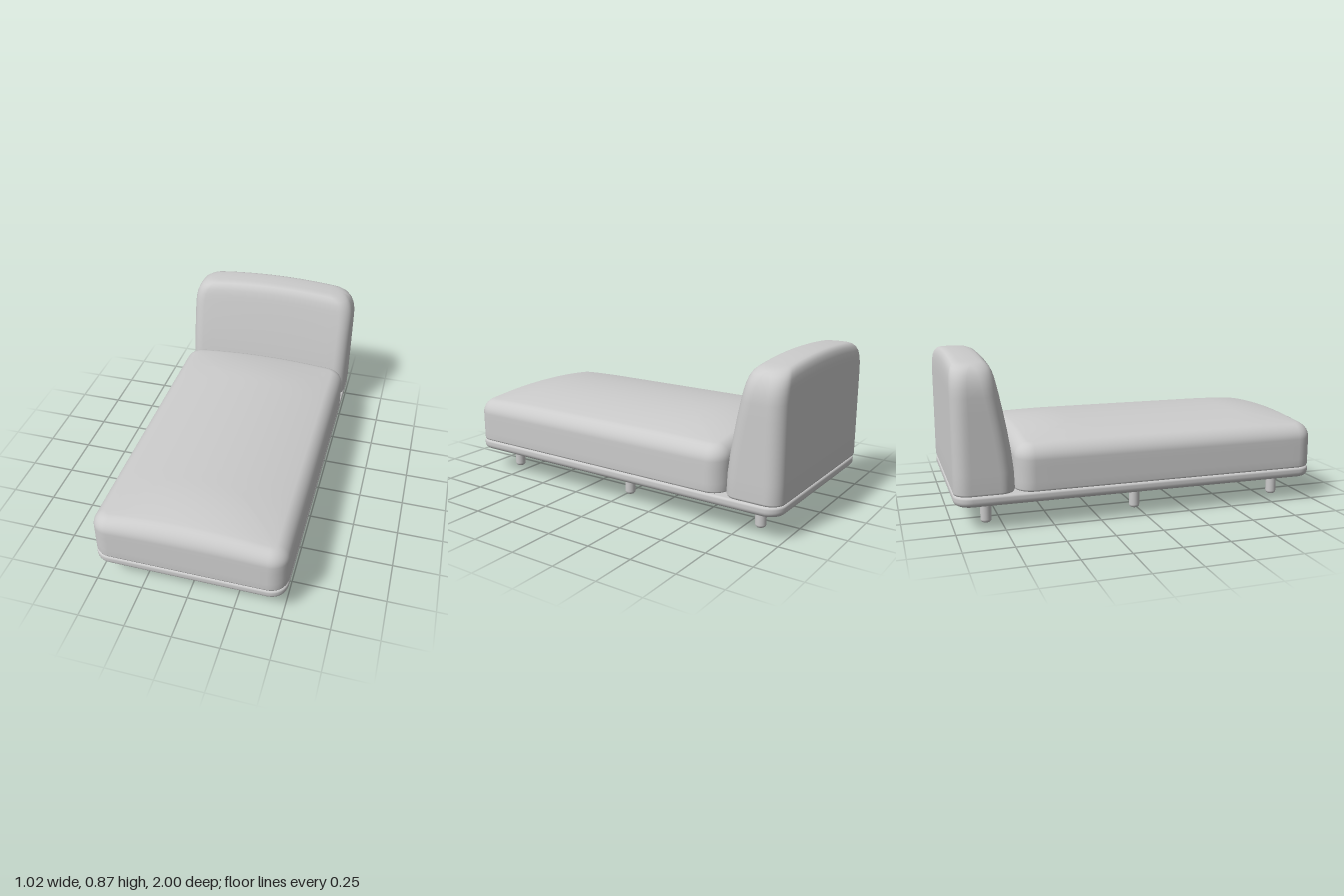
import * as THREE from 'three';
import { mergeVertices } from 'three/addons/utils/BufferGeometryUtils.js';

const HALF_W = 0.512;
const material = new THREE.MeshStandardMaterial({ color: 0xcccccc });

// Rounded rectangle in plan, same point count for every size
function roundedRing({ hx, z0, z1, r }) {
  const hz = (z1 - z0) / 2, cz = (z0 + z1) / 2;
  const rad = Math.max(0, Math.min(r, hx, hz));
  const corners = [[1, 1], [-1, 1], [-1, -1], [1, -1]];
  const arcs = corners.map(([sx, sz], k) => {
    const pts = [];
    for (let i = 0; i <= 8; i++) {
      const a = (k + i / 8) * Math.PI / 2;
      pts.push([sx * (hx - rad) + rad * Math.cos(a), cz + sz * (hz - rad) + rad * Math.sin(a)]);
    }
    return pts;
  });
  const out = [];
  arcs.forEach((arc, k) => {
    out.push(...arc);
    const a = arc[8], b = arcs[(k + 1) % 4][0];
    for (let i = 1; i < 16; i++) {
      const t = i / 16;
      out.push([a[0] + (b[0] - a[0]) * t, a[1] + (b[1] - a[1]) * t]);
    }
  });
  return out;
}

const inset = (s, d, y = s.y) => ({ ...s, y, hx: s.hx - d, z0: s.z0 + d, z1: s.z1 - d, r: Math.max(s.r - d, 0.02) });

// Skin a stack of rings; puff(x, z) lifts each ring by its share "lift"
function loft(name, sections, puff = () => 0) {
  const close = s => inset(s, Math.min(s.hx, (s.z1 - s.z0) / 2));
  const all = [close(sections[0]), ...sections, close(sections[sections.length - 1])];
  const pos = [], idx = [];
  let n = 0;
  all.forEach(s => {
    const ring = roundedRing(s);
    n = ring.length;
    ring.forEach(([x, z]) => pos.push(x, s.y + (s.lift || 0) * puff(x, z), z));
  });
  for (let j = 0; j < all.length - 1; j++) {
    for (let i = 0; i < n; i++) {
      const a = j * n + i, b = j * n + (i + 1) % n;
      idx.push(a, a + n, b, b, a + n, b + n);
    }
  }
  let geo = new THREE.BufferGeometry();
  geo.setAttribute('position', new THREE.Float32BufferAttribute(pos, 3));
  geo.setIndex(idx);
  geo = mergeVertices(geo, 1e-5);
  geo.computeVertexNormals();
  const mesh = new THREE.Mesh(geo, material);
  mesh.name = name;
  return mesh;
}

// Thin platform with a soft lower edge
function makeBase() {
  const full = { hx: HALF_W, z0: -1, z1: 1, r: 0.09, y: 0 };
  const rings = [inset(full, 0.045, 0.13)];
  for (let i = 0; i <= 6; i++) {
    const a = i / 6 * Math.PI / 2;
    rings.push(inset(full, 0.03 * (1 - Math.sin(a)), 0.16 - 0.03 * Math.cos(a)));
  }
  for (let i = 0; i <= 4; i++) {
    const a = i / 4 * Math.PI / 2;
    rings.push(inset(full, 0.012 * (1 - Math.cos(a)), 0.173 + 0.012 * Math.sin(a)));
  }
  rings.push(inset(full, 0.02, 0.185));
  return loft('base', rings);
}

// Long crowned seat cushion
function makeSeat() {
  const full = { hx: HALF_W, z0: -0.688, z1: 1, r: 0.095, y: 0, lift: 0 };
  const rings = [inset(full, 0.025, 0.186), inset(full, 0.012, 0.186), inset(full, 0.003, 0.19)];
  for (let i = 0; i <= 4; i++) rings.push({ ...full, y: 0.198 + i * 0.038, lift: i / 4 * 0.6 });
  for (let i = 1; i <= 8; i++) {
    const a = i / 8 * Math.PI / 2;
    rings.push({ ...inset(full, 0.07 * (1 - Math.cos(a)), 0.35 + 0.07 * Math.sin(a)), lift: 0.6 + 0.4 * Math.sin(a) });
  }
  for (let i = 1; i <= 12; i++) rings.push({ ...inset(full, 0.07 + (HALF_W - 0.07) * i / 12, 0.42), lift: 1 });
  return loft('seatCushion', rings, (x, z) => {
    const d = Math.min(1, Math.min(1 - z, z + 0.688) / 0.36);
    return 0.066 * (1 - (x / HALF_W) ** 2) * (0.35 + 0.65 * d * (2 - d));
  });
}

// Upright back cushion: straight behind, leaning in front, arched on top
function makeBack() {
  // y, half width, front z, rear z, crown share
  const profile = [
    [0.186, 0.49, -0.715, -0.98, 0], [0.19, 0.508, -0.695, -0.996, 0], [0.2, 0.512, -0.69, -1, 0],
    [0.3, 0.512, -0.694, -1, 0], [0.4, 0.512, -0.706, -1, 0], [0.5, 0.512, -0.722, -1, 0.1],
    [0.6, 0.512, -0.741, -1, 0.3], [0.68, 0.512, -0.758, -1, 0.5], [0.72, 0.509, -0.767, -1, 0.6],
    [0.755, 0.502, -0.775, -0.998, 0.75], [0.785, 0.489, -0.784, -0.994, 0.85],
    [0.806, 0.472, -0.795, -0.986, 0.95], [0.819, 0.45, -0.81, -0.974, 1],
    [0.825, 0.427, -0.826, -0.96, 1], [0.827, 0.4, -0.85, -0.94, 1], [0.828, 0.37, -0.88, -0.91, 1],
  ];
  const rings = profile.map(([y, hx, z1, z0, lift]) => ({ y, hx, z0, z1, r: 0.075, lift }));
  return loft('backCushion', rings, x => 0.037 * (1 - (x / HALF_W) ** 2));
}

// Round peg with a softened foot
function makeLegs() {
  const legs = new THREE.Group();
  legs.name = 'legs';
  const R = 0.029, b = 0.018;
  const pts = [new THREE.Vector2(0, 0)];
  for (let i = 0; i <= 5; i++) {
    const a = i / 5 * Math.PI / 2;
    pts.push(new THREE.Vector2(R - b + b * Math.sin(a), b - b * Math.cos(a)));
  }
  pts.push(new THREE.Vector2(R, 0.14));
  const geo = new THREE.LatheGeometry(pts, 24);
  for (const x of [-0.34, 0.34]) {
    for (const z of [0.83, -0.013, -0.826]) {
      const leg = new THREE.Mesh(geo, material);
      leg.name = 'leg';
      leg.position.set(x, 0, z);
      legs.add(leg);
    }
  }
  return legs;
}

export function createModel() {
  const model = new THREE.Group();
  model.name = 'daybed';
  model.add(makeBase(), makeSeat(), makeBack(), makeLegs());
  return model;
}
